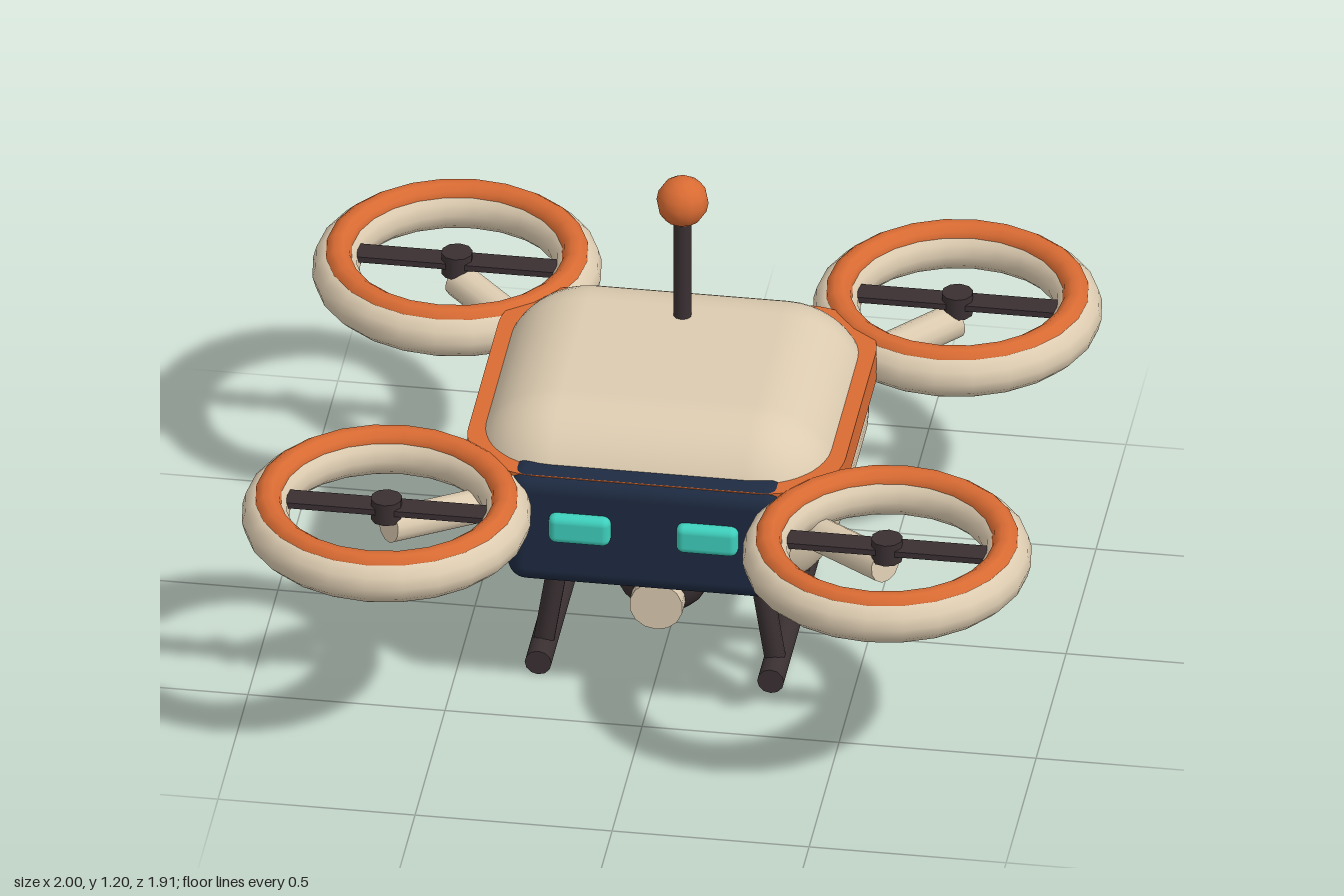
import * as THREE from 'three';
import { RoundedBoxGeometry } from 'three/addons/geometries/RoundedBoxGeometry.js';

const material = (name, color) => {
  const m = new THREE.MeshStandardMaterial({ color });
  m.name = name;
  return m;
};

export function createModel() {
  const cream = material('cream', 0xdccbb0);
  const orange = material('orange', 0xd96b33);
  const dark = material('charcoal', 0x3a3032);
  const navy = material('navy', 0x1e2b42);
  const teal = material('teal', 0x3ecfbc);

  const model = new THREE.Group();
  model.name = 'quadcopter';

  const add = (parent, name, geometry, mat, x = 0, y = 0, z = 0) => {
    const mesh = new THREE.Mesh(geometry, mat);
    mesh.name = name;
    mesh.position.set(x, y, z);
    parent.add(mesh);
    return mesh;
  };

  // Round bar between two points
  const bar = (parent, name, from, to, radius, mat, sides = 12) => {
    const a = new THREE.Vector3(...from), b = new THREE.Vector3(...to);
    const dir = b.clone().sub(a);
    const mesh = add(parent, name, new THREE.CylinderGeometry(radius, radius, dir.length(), sides), mat);
    mesh.position.copy(a).add(b).multiplyScalar(0.5);
    mesh.quaternion.setFromUnitVectors(new THREE.Vector3(0, 1, 0), dir.normalize());
    return mesh;
  };

  // Body shell
  add(model, 'body', new RoundedBoxGeometry(0.93, 0.5, 0.874, 6, 0.22), cream, 0, 0.55, 0);

  // Belt around the body
  const w = 0.479, d = 0.45, r = 0.2;
  const outline = new THREE.Shape();
  outline.absarc(w - r, d - r, r, 0, Math.PI / 2);
  outline.absarc(r - w, d - r, r, Math.PI / 2, Math.PI);
  outline.absarc(r - w, r - d, r, Math.PI, Math.PI * 1.5);
  outline.absarc(w - r, r - d, r, Math.PI * 1.5, Math.PI * 2);
  const beltGeometry = new THREE.ExtrudeGeometry(outline, { depth: 0.085, bevelEnabled: false, curveSegments: 8 });
  beltGeometry.rotateX(-Math.PI / 2);
  add(model, 'belt', beltGeometry, orange, 0, 0.6, 0);

  // Face panel and eyes
  add(model, 'facePanel', new RoundedBoxGeometry(0.704, 0.322, 0.16, 4, 0.05), navy, 0, 0.532, 0.39);
  for (const s of [-1, 1]) {
    add(model, 'eye', new RoundedBoxGeometry(0.157, 0.08, 0.06, 3, 0.02), teal, s * 0.162, 0.554, 0.467);
  }

  // Four arms with ducted rotors
  for (const sx of [-1, 1]) for (const sz of [-1, 1]) {
    bar(model, 'arm', [sx * 0.3, 0.54, sz * 0.3], [sx * 0.63, 0.59, sz * 0.588], 0.045, cream);
    const rotor = new THREE.Group();
    rotor.name = 'rotor';
    rotor.position.set(sx * 0.635, 0, sz * 0.588);
    model.add(rotor);
    add(rotor, 'duct', new THREE.TorusGeometry(0.305, 0.06, 12, 24).rotateX(Math.PI / 2), cream, 0, 0.623, 0);
    add(rotor, 'ductTrim', new THREE.TorusGeometry(0.3, 0.036, 10, 24).rotateX(Math.PI / 2), orange, 0, 0.66, 0);
    add(rotor, 'blades', new THREE.BoxGeometry(0.51, 0.016, 0.064), dark, 0, 0.645, 0);
    add(rotor, 'hub', new THREE.CylinderGeometry(0.04, 0.04, 0.06, 10), dark, 0, 0.642, 0);
  }

  // Antenna
  bar(model, 'antennaMast', [0, 0.78, -0.176], [0, 1.12, -0.176], 0.023, dark, 10);
  add(model, 'antennaBall', new THREE.SphereGeometry(0.066, 12, 8), orange, 0, 1.137, -0.176);

  // Belly camera
  add(model, 'cameraBall', new THREE.SphereGeometry(0.128, 14, 10), dark, 0, 0.255, 0.123);
  bar(model, 'cameraLens', [0, 0.212, 0.18], [0, 0.212, 0.268], 0.068, cream, 14);

  // Landing skids
  for (const s of [-1, 1]) {
    bar(model, 'skid', [s * 0.295, 0.034, -0.295], [s * 0.295, 0.034, 0.295], 0.034, dark);
    for (const z of [-0.207, 0.207]) {
      bar(model, 'skidStrut', [s * 0.245, 0.36, z], [s * 0.295, 0.04, z], 0.027, dark, 10);
    }
  }

  return model;
}
